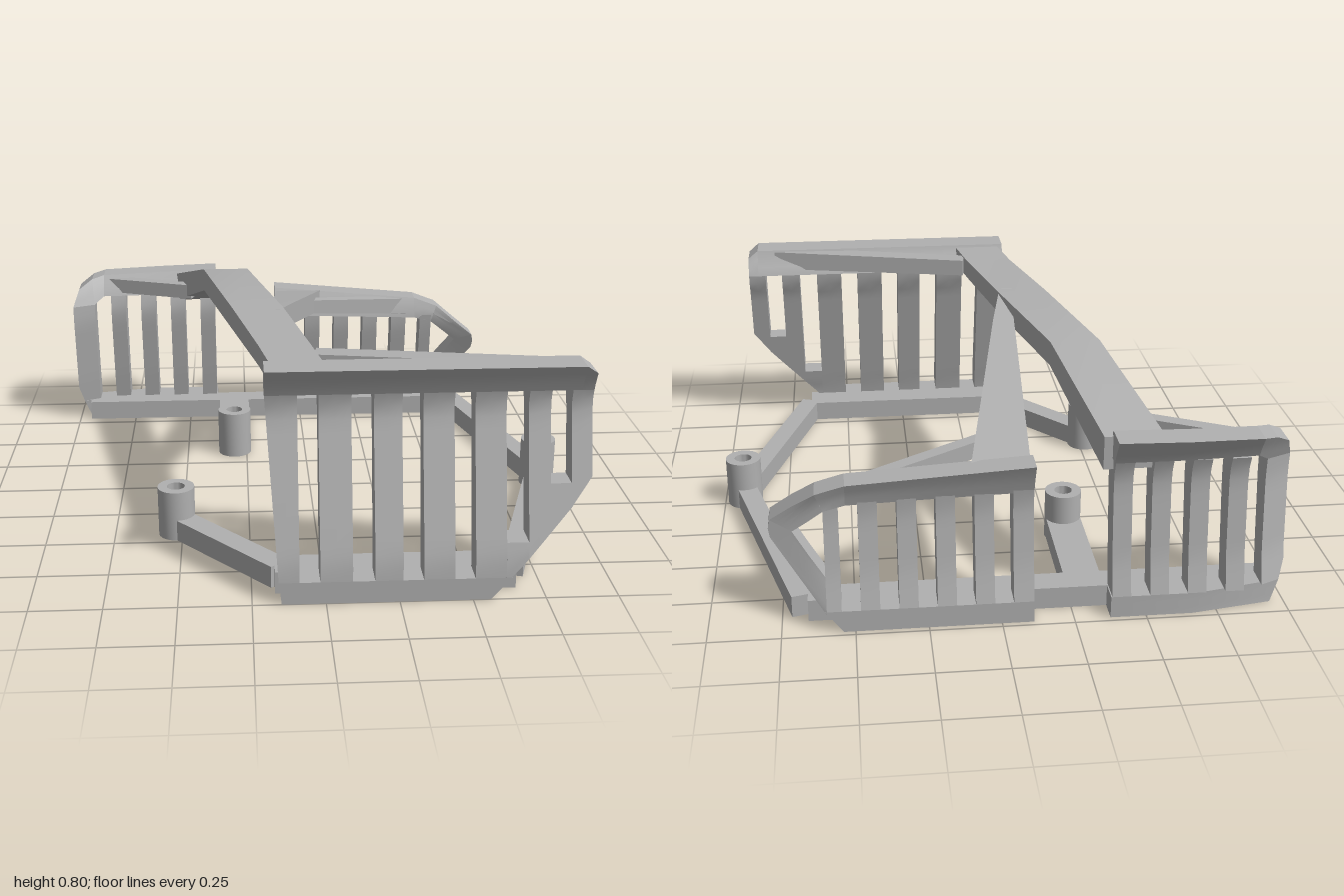
import * as THREE from 'three';
import { toCreasedNormals } from 'three/addons/utils/BufferGeometryUtils.js';

const grey = new THREE.MeshStandardMaterial({ color: 0xb0b0b0 });
grey.name = 'plain grey';

const lerp = THREE.MathUtils.lerp;
const ramp = (a, b, t) => THREE.MathUtils.clamp((t - a) / (b - a), 0, 1);

function mesh(name, geometry, crease = 0.5) {
  const m = new THREE.Mesh(toCreasedNormals(geometry, crease), grey);
  m.name = name;
  return m;
}

// Moves each vertex of a unit box by a rule on (u, v, w) in 0..1
function warpBox(segments, rule) {
  const g = new THREE.BoxGeometry(1, 1, 1, ...segments);
  const p = g.attributes.position;
  for (let i = 0; i < p.count; i++) {
    p.setXYZ(i, ...rule(p.getX(i) + 0.5, p.getY(i) + 0.5, p.getZ(i) + 0.5));
  }
  return g;
}

// Interpolates rows whose first number is the key
function sample(rows, t) {
  let i = 0;
  while (i < rows.length - 2 && t > rows[i + 1][0]) i++;
  const k = ramp(rows[i][0], rows[i + 1][0], t);
  return rows[i].map((a, j) => lerp(a, rows[i + 1][j], k));
}

// Curved panel piece: quad corners (bottom left, bottom right, top right, top left)
function patch(name, profile, shift, [a, b, c, d]) {
  const tall = Math.max(c[1], d[1]) - Math.min(a[1], b[1]);
  const g = warpBox([2, Math.max(3, Math.ceil(tall * 22)), 1], (u, v, w) => {
    const x = lerp(lerp(a[0], b[0], u), lerp(d[0], c[0], u), v);
    const y = lerp(lerp(a[1], b[1], u), lerp(d[1], c[1], u), v);
    const [, zMin, zMax] = sample(profile, y);
    return [x, y, lerp(zMin, zMax, w) + shift(x)];
  });
  return mesh(name, g);
}

function panel(name, profile, shift, pieces) {
  const group = new THREE.Group();
  group.name = name;
  for (const [part, ...quads] of pieces) {
    for (const q of quads) group.add(patch(part, profile, shift, q));
  }
  return group;
}

const rect = (x0, x1, y0, y1) => [[x0, y0], [x1, y0], [x1, y1], [x0, y1]];

// Arm lofted through sections [z, x0, x1, y0, y1], ordered back to front
function arm(name, sections) {
  const n = sections.length - 1;
  return mesh(name, warpBox([1, 1, n], (u, v, w) => {
    const [z, x0, x1, y0, y1] = sections[Math.round(w * n)];
    return [lerp(x0, x1, u), lerp(y0, y1, v), z];
  }));
}

// Straight bar between two (x, z) points, with its own bottom and top at each end
function bar(name, [ax, az, a0, a1], [bx, bz, b0, b1], width) {
  const len = Math.hypot(bx - ax, bz - az);
  const nx = (bz - az) / len * width, nz = -(bx - ax) / len * width;
  return mesh(name, warpBox([1, 1, 1], (u, v, w) => [
    lerp(ax, bx, w) + nx * (u - 0.5),
    lerp(lerp(a0, a1, v), lerp(b0, b1, v), w),
    lerp(az, bz, w) + nz * (u - 0.5),
  ]));
}

// Round post with a blind hole in its top
function boss(x, z) {
  const pts = [[0, 0], [0.068, 0], [0.068, 0.19], [0.033, 0.19], [0.033, 0.07], [0, 0.07]];
  const m = mesh('mountingBoss', new THREE.LatheGeometry(pts.map(p => new THREE.Vector2(...p)), 32));
  m.position.set(x, 0, z);
  return m;
}

export function createModel() {
  const model = new THREE.Group();
  model.name = 'slottedGuardFrame';

  // Profiles: height, smallest z, largest z
  const frontProfile = [[0, 0.91, 1], [0.1, 0.905, 1], [0.15, 0.89, 0.993], [0.61, 0.785, 0.862],
    [0.66, 0.762, 0.855], [0.71, 0.757, 0.868], [0.77, 0.79, 0.9], [0.8, 0.8, 0.92]];
  const rearTallProfile = [[0, -0.98, -0.885], [0.08, -0.98, -0.885], [0.2, -0.95, -0.865],
    [0.47, -0.92, -0.828], [0.54, -0.925, -0.83], [0.6, -0.955, -0.855], [0.67, -1, -0.895]];
  const rearLowProfile = [[0, -0.98, -0.885], [0.08, -0.98, -0.885], [0.2, -0.95, -0.865],
    [0.4, -0.92, -0.83], [0.46, -0.92, -0.825], [0.52, -0.94, -0.845], [0.59, -0.975, -0.88]];

  // Front panel with six slots and a cut-off lower corner
  model.add(panel('frontPanel', frontProfile, () => 0, [
    ['bottomRail', [[-0.15, 0], [0.56, 0], [0.63, 0.08], [-0.16, 0.08]]],
    ['endBar', [[-0.16, 0.08], [-0.09, 0.08], [-0.09, 0.7], [-0.2, 0.7]],
      [[0.83, 0.31], [0.9, 0.41], [0.9, 0.7], [0.83, 0.7]]],
    ['slat', rect(-0.02, 0.09, 0.08, 0.7), rect(0.165, 0.26, 0.08, 0.7),
      rect(0.33, 0.435, 0.08, 0.7), rect(0.505, 0.61, 0.08, 0.7),
      [[0.685, 0.145], [0.76, 0.23], [0.76, 0.7], [0.685, 0.7]]],
    ['cornerWeb', [[0.61, 0.06], [0.685, 0.145], [0.685, 0.2], [0.61, 0.2]],
      [[0.76, 0.23], [0.83, 0.31], [0.83, 0.39], [0.76, 0.39]]],
    ['topLip', rect(-0.2, 0.86, 0.7, 0.8), [[0.86, 0.7], [0.9, 0.7], [0.9, 0.77], [0.86, 0.8]]],
  ]));

  // Taller rear panel on the right
  const slats = [0, 1, 2, 3].map(i => rect(-0.84 + i * 0.132, -0.775 + i * 0.132, 0.08, 0.57));
  model.add(panel('rearRightPanel', rearTallProfile, x => 0.07 * ramp(-0.84, -1, x), [
    ['bottomRail', [[-0.95, 0], [-0.375, 0], [-0.375, 0.08], [-0.98, 0.08]]],
    ['endBar', [[-0.98, 0.08], [-0.91, 0.08], [-0.91, 0.15], [-1, 0.15]], rect(-1, -0.91, 0.15, 0.54)],
    ['slat', ...slats],
    ['topLip', [[-0.87, 0.57], [-0.375, 0.57], [-0.375, 0.67], [-0.87, 0.655]],
      [[-0.91, 0.54], [-0.87, 0.57], [-0.87, 0.655], [-0.92, 0.645]],
      [[-1, 0.54], [-0.91, 0.54], [-0.92, 0.645], [-0.975, 0.61]]],
  ]));

  // Lower rear panel on the left, pointed at its outer end
  const lowSlats = [0, 1, 2, 3].map(i => rect(0.025 + i * 0.13, 0.09 + i * 0.13, 0.08, 0.47));
  model.add(panel('rearLeftPanel', rearLowProfile, x => 0.06 * ramp(0.62, 0.78, x), [
    ['bottomRail', [[-0.11, 0], [0.54, 0], [0.6, 0.08], [-0.11, 0.08]]],
    ['endBar', rect(-0.11, -0.04, 0.08, 0.48)],
    ['slat', ...lowSlats, rect(0.545, 0.595, 0.08, 0.46)],
    ['topLip', [[-0.11, 0.47], [0.52, 0.45], [0.52, 0.535], [-0.11, 0.585]],
      [[0.52, 0.45], [0.595, 0.43], [0.62, 0.5], [0.52, 0.535]]],
    ['pointedEnd', [[0.595, 0.43], [0.7, 0.35], [0.775, 0.38], [0.62, 0.5]],
      [[0.595, 0.07], [0.775, 0.32], [0.7, 0.35], [0.595, 0.2]],
      [[0.7, 0.35], [0.775, 0.32], [0.78, 0.35], [0.775, 0.38]]],
  ]));

  // Arms over the top
  model.add(arm('mainArm', [
    [-0.9, -0.55, -0.345, 0.53, 0.65], [-0.4, -0.415, -0.235, 0.71, 0.8],
    [0.17, -0.3, -0.11, 0.715, 0.8], [0.6, -0.212, -0.03, 0.717, 0.79], [0.85, -0.17, 0.01, 0.72, 0.79],
  ]));
  model.add(arm('branchArm', [
    [-0.9, -0.1, 0.1, 0.47, 0.565], [-0.03, -0.15, -0.07, 0.67, 0.755], [0.2, -0.17, -0.12, 0.715, 0.8],
  ]));

  // Thin braces from the arms to the panel lips
  model.add(bar('frontBrace', [-0.02, 0.66, 0.72, 0.785], [0.78, 0.83, 0.72, 0.795], 0.075));
  model.add(bar('rearRightBrace', [-0.47, -0.72, 0.59, 0.65], [-0.84, -0.89, 0.58, 0.64], 0.05));
  model.add(bar('rearLeftBrace', [0.04, -0.7, 0.52, 0.58], [0.47, -0.88, 0.46, 0.53], 0.05));

  // Base bars and struts
  const base = (name, a, b, w) => model.add(bar(name, [...a, 0, 0.08], [...b, 0, 0.08], w));
  base('rearBaseBar', [-0.95, -0.85], [0.66, -0.85], 0.1);
  base('frontBaseBar', [-0.17, 0.855], [0.66, 0.855], 0.13);
  base('leftRearStrut', [0.68, -0.86], [0.92, 0.02], 0.075);
  base('leftFrontStrut', [0.92, 0.02], [0.665, 0.83], 0.075);
  base('rightFrontStrut', [-0.52, 0.42], [-0.15, 0.85], 0.085);
  base('rightRearStrut', [-0.3, -0.38], [-0.3, -0.84], 0.13);

  // Mounting bosses
  for (const [x, z] of [[0.92, 0.02], [-0.52, 0.42], [-0.3, -0.38]]) model.add(boss(x, z));

  return model;
}
